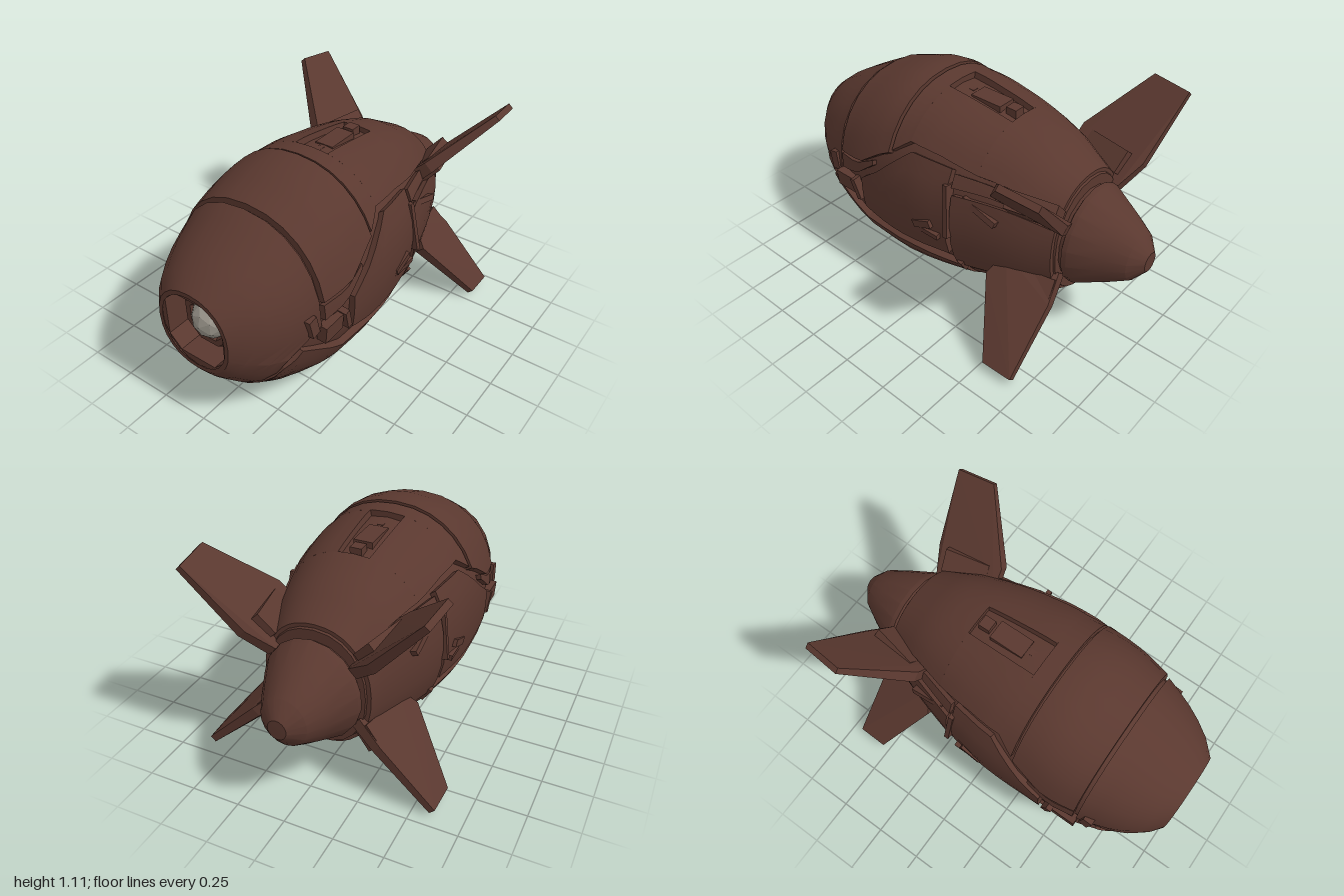
import * as THREE from 'three';
import { toCreasedNormals } from 'three/addons/utils/BufferGeometryUtils.js';
import { ConvexGeometry } from 'three/addons/geometries/ConvexGeometry.js';

// Hull stations: z, top y, bottom y, half width
const HULL = [
  [1.0, 0.76, 0.34, 0.2], [0.96, 0.8, 0.28, 0.255], [0.87, 0.86, 0.19, 0.325], [0.75, 0.93, 0.12, 0.385],
  [0.62, 1.0, 0.065, 0.425], [0.5, 1.04, 0.02, 0.452], [0.4, 1.075, 0.0, 0.46], [0.3, 1.09, 0.0, 0.462],
  [0.2, 1.085, 0.0, 0.465], [0.05, 1.075, 0.03, 0.463], [-0.15, 1.045, 0.07, 0.43],
  [-0.3, 1.015, 0.1, 0.39], [-0.45, 0.965, 0.14, 0.345], [-0.64, 0.86, 0.2, 0.27],
];

// Point on the hull at station z and angle a (degrees, 0 = left, 90 = top), scaled about the axis
function hullPoint(z, a, s = 1) {
  let i = 0;
  while (i < HULL.length - 2 && HULL[i + 1][0] > z) i++;
  const p = HULL[i], q = HULL[i + 1];
  const t = (z - p[0]) / (q[0] - p[0]);
  const [top, bottom, w] = [1, 2, 3].map((k) => p[k] + (q[k] - p[k]) * t);
  const c = Math.cos(a * Math.PI / 180), n = Math.sin(a * Math.PI / 180);
  const soft = (v) => Math.sign(v) * Math.pow(Math.abs(v), 0.91);
  return new THREE.Vector3(w * soft(c) * s, (top + bottom) / 2 + (top - bottom) / 2 * soft(n) * s, z);
}

// Closed curved slab; place(u, v) gives [z, angle]
function slab(place, nu, nv, outer, inner) {
  const pos = [];
  const P = (i, j, k) => {
    const [z, a] = place(i / nu, j / nv);
    return hullPoint(z, a, k ? inner : outer);
  };
  const quad = (a, b, c, d) => [a, b, c, a, c, d].forEach((p) => pos.push(p.x, p.y, p.z));
  for (let i = 0; i < nu; i++) {
    for (let j = 0; j < nv; j++) {
      quad(P(i, j, 0), P(i + 1, j, 0), P(i + 1, j + 1, 0), P(i, j + 1, 0));
      quad(P(i, j, 1), P(i, j + 1, 1), P(i + 1, j + 1, 1), P(i + 1, j, 1));
    }
    quad(P(i, 0, 0), P(i, 0, 1), P(i + 1, 0, 1), P(i + 1, 0, 0));
    quad(P(i, nv, 0), P(i + 1, nv, 0), P(i + 1, nv, 1), P(i, nv, 1));
  }
  for (let j = 0; j < nv; j++) {
    quad(P(0, j, 0), P(0, j + 1, 0), P(0, j + 1, 1), P(0, j, 1));
    quad(P(nu, j, 0), P(nu, j, 1), P(nu, j + 1, 1), P(nu, j + 1, 0));
  }
  const geo = new THREE.BufferGeometry();
  geo.setAttribute('position', new THREE.Float32BufferAttribute(pos, 3));
  return toCreasedNormals(geo, 0.35);
}

// Armour panel from rows of [z, start angle, end angle]
function panel(rows, nv, outer = 1, inner = 0.91) {
  const place = (u, v) => {
    const f = u * (rows.length - 1), i = Math.min(Math.floor(f), rows.length - 2), t = f - i;
    const [z, a, b] = rows[i].map((r, k) => r + (rows[i + 1][k] - r) * t);
    return [z, a + (b - a) * v];
  };
  return slab(place, (rows.length - 1) * 3, nv, outer, inner);
}
const mirrorRows = (rows) => rows.map(([z, a, b]) => [z, 180 - b, 180 - a]);

export function createModel() {
  const model = new THREE.Group();
  model.name = 'finnedPod';
  const brown = new THREE.MeshStandardMaterial({ color: 0x5a382f });
  brown.name = 'darkBrown';
  const grey = new THREE.MeshStandardMaterial({ color: 0x9a958b });
  grey.name = 'lensGrey';
  const add = (name, geo, mat = brown) => {
    const mesh = new THREE.Mesh(geo, mat);
    mesh.name = name;
    model.add(mesh);
    return mesh;
  };
  const both = (name, rows, nv, outer, inner) => {
    add(name + 'Left', panel(rows, nv, outer, inner));
    add(name + 'Right', panel(mirrorRows(rows), nv, outer, inner));
  };

  // Inner body seen through the gaps
  add('core', slab((u, v) => [0.86 - 1.51 * u, 360 * v], 14, 24, 0.935, 0.001));

  // Head shell, its rear rim sweeping forward underneath
  const rim = (a) => {
    const s = Math.sin(a * Math.PI / 180);
    return s > -0.08 ? 0.62 : 0.745 - 0.13 * s;
  };
  add('headShell', slab((u, v) => [0.995 + (rim(360 * v) - 0.995) * u, 360 * v], 5, 24, 0.985, 0.88));

  // Upper shells with a dorsal trench
  add('collarShell', panel([[0.6, 13, 167], [0.42, 14, 166], [0.24, 26, 154]], 12));
  add('backShellFront', panel([[0.225, 28, 152], [0.13, 38, 142]], 12, 0.99));
  both('backShellSide', [[0.13, 38, 80], [-0.05, 38, 80], [-0.25, 36, 80]], 5, 0.99);
  add('backShellRear', panel([[-0.25, 36, 144], [-0.45, 38, 142], [-0.64, 34, 146]], 12, 0.99));

  // Belly shells
  add('bellyShell', panel([[0.85, -120, -60], [0.79, -157, -23], [0.72, -170, -10],
    [0.45, -154, -26], [0.1, -152, -28], [-0.18, -145, -35]], 14));
  add('rearBellyShell', panel([[-0.2, -143, -37], [-0.62, -143, -37]], 10, 0.985));

  // Flank armour
  both('midFlank', [[0.42, -13, 4], [0.3, -18, 12], [0.1, -20, 33], [-0.13, -22, 34]], 5, 1.0);
  both('rearFlank', [[-0.16, -31, 19], [-0.4, -32, 22], [-0.64, -32, 24]], 5, 1.01);
  both('shoulderStrip', [[-0.15, 23, 32], [-0.35, 26, 34], [-0.62, 27, 31]], 2, 1.0);
  both('cheekStrip', [[0.6, 2, 11], [0.45, 6, 12], [0.34, 14, 17]], 2, 0.99);

  // Small blocks in the flank pockets and on the flanks: z, angle, height, length, tilt
  const blocks = [[0.67, 3, 0.1, 0.05, 0.2], [0.56, -4, 0.09, 0.13, 0], [0.47, -4, 0.12, 0.03, 0.3],
    [0.0, -4, 0.04, 0.12, 0.4], [-0.02, -8, 0.03, 0.16, 0], [-0.14, 8, 0.28, 0.025, 0.1],
    [-0.3, 15, 0.03, 0.2, -0.3], [-0.18, -33, 0.1, 0.03, -0.2]];
  for (const side of [1, -1]) {
    for (const [z, a, h, l, tilt] of blocks) {
      const block = add('flankBlock', new THREE.BoxGeometry(0.05, h, l));
      block.position.copy(hullPoint(z, a, 0.965));
      block.position.x *= side;
      block.rotation.set(tilt, 0, side * a * Math.PI / 180);
    }
  }

  // Hatch blocks in the dorsal trench
  for (const [x, z, w, l] of [[0, -0.2, 0.06, 0.06], [0, -0.06, 0.1, 0.18], [0, 0.08, 0.03, 0.07]]) {
    add('trenchBlock', new THREE.BoxGeometry(w, 0.05, l)).position.set(x, 1.015, z);
  }

  // Square muzzle socket
  const socket = new THREE.Shape();
  socket.absellipse(0, 0, 0.195, 0.205, 0, Math.PI * 2);
  const o = 0.165, e = 0.1;
  socket.holes.push(new THREE.Path([[o, e], [e, o], [-e, o], [-o, e], [-o, -e], [-e, -o], [e, -o], [o, -e]]
    .map(([x, y]) => new THREE.Vector2(x, y))));
  add('muzzleSocket', new THREE.ExtrudeGeometry(socket, { depth: 0.13, bevelEnabled: false, curveSegments: 10 }))
    .position.set(0, 0.55, 0.855);

  // Lens and its ring
  const ring = add('lensRing', toCreasedNormals(new THREE.TorusGeometry(0.122, 0.03, 6, 8), 0.3));
  ring.position.set(0, 0.55, 0.88);
  ring.rotation.z = Math.PI / 8;
  add('lens', toCreasedNormals(new THREE.IcosahedronGeometry(0.103, 1), 0.2), grey).position.set(0, 0.55, 0.86);

  // Tail cone
  const tailProfile = [[0, 0.6], [0.245, 0.6], [0.245, 0.665], [0.265, 0.675], [0.262, 0.7], [0.18, 0.85],
    [0.125, 0.94], [0.05, 0.998], [0, 1.0]].map(([r, y]) => new THREE.Vector2(r, y));
  const tail = new THREE.LatheGeometry(tailProfile, 18);
  tail.rotateX(-Math.PI / 2);
  tail.scale(0.92, 1, 1);
  add('tailCone', toCreasedNormals(tail, 0.4)).position.y = 0.535;

  // Four tapered fins: corner [x, y, z, half thickness]
  const upperFin = [[0.27, 0.75, -0.36, 0.035], [0.36, 0.84, -0.37, 0.03], [0.6, 1.1, -0.59, 0.016],
    [0.58, 1.08, -0.79, 0.016], [0.32, 0.78, -0.74, 0.025], [0.2, 0.68, -0.68, 0.03]];
  const lowerFin = [[0.27, 0.42, -0.4, 0.035], [0.36, 0.33, -0.35, 0.03], [0.605, 0.035, -0.53, 0.018],
    [0.6, 0.03, -0.69, 0.018], [0.32, 0.3, -0.69, 0.025], [0.2, 0.4, -0.66, 0.03]];
  const finGeometry = (corners, side, up) => new ConvexGeometry(corners.flatMap(([x, y, z, t]) =>
    [1, -1].map((k) => new THREE.Vector3(side * (x - k * t * 0.74), y + up * k * t * 0.67, z))));
  for (const side of [1, -1]) {
    const label = side > 0 ? 'Left' : 'Right';
    add('upperFin' + label, finGeometry(upperFin, side, 1));
    add('lowerFin' + label, finGeometry(lowerFin, side, -1));
    // Root mounts
    for (const [y, turn] of [[0.78, 0.84], [0.33, -0.84]]) {
      const mount = add('finMount' + label, new THREE.BoxGeometry(0.12, 0.09, 0.24));
      mount.position.set(side * 0.29, y, -0.55);
      mount.rotation.set(0, side * 0.2, side * turn);
    }
  }
  return model;
}
